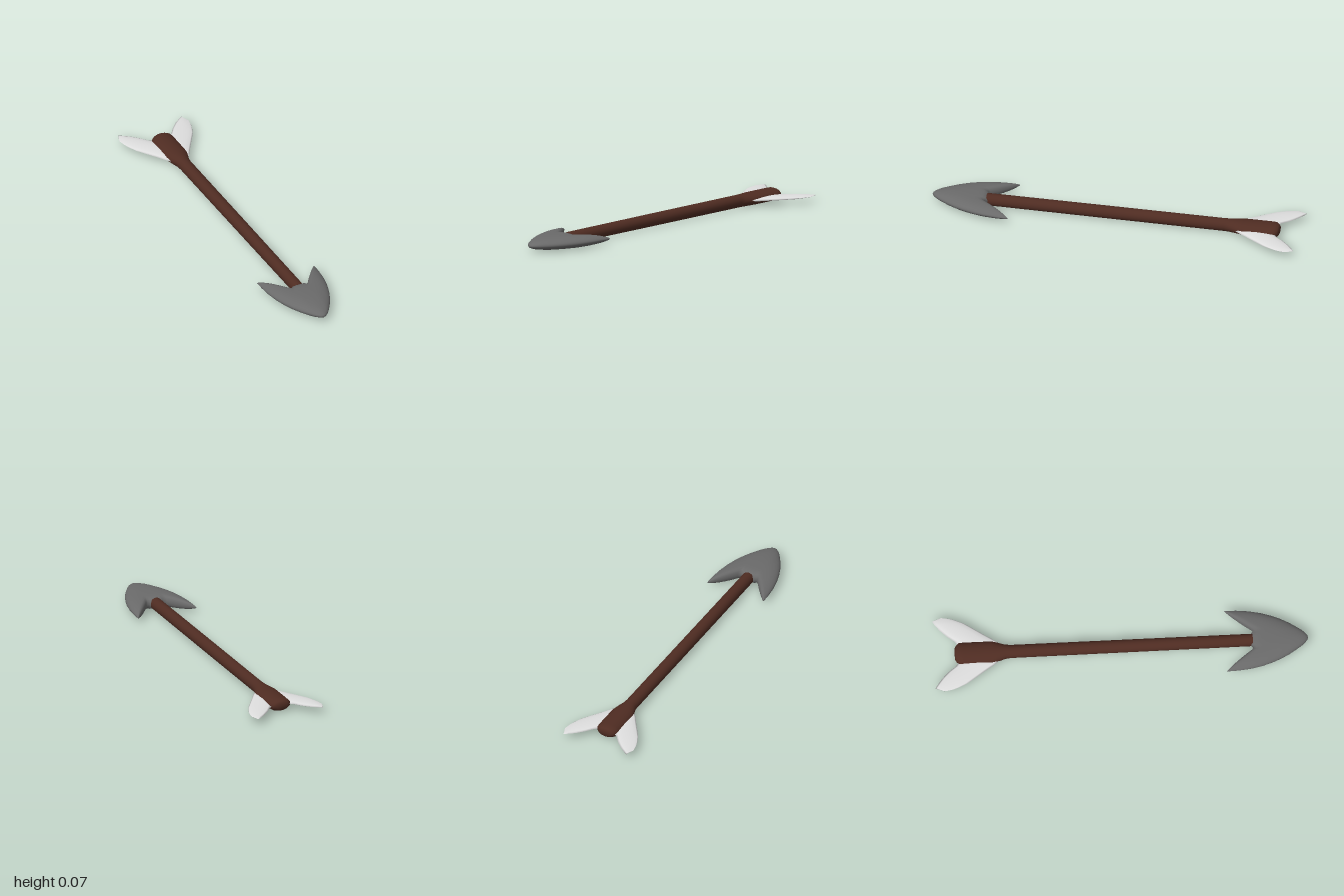
import * as THREE from 'three';

const MID_Y = 0.035; // height of the long axis

// Closed smooth skin over a list of rings, with both ends capped.
// Rings run counter-clockwise around the direction of travel.
function loft(rings) {
  const n = rings[0].length, pos = [], index = [];
  rings.forEach(r => r.forEach(p => pos.push(p.x, p.y, p.z)));
  for (let i = 0; i < rings.length - 1; i++) {
    for (let j = 0; j < n; j++) {
      const k = (j + 1) % n, a = i * n + j, b = i * n + k;
      index.push(a, b, a + n, b, b + n, a + n);
    }
  }
  [0, rings.length - 1].forEach((i, end) => {
    const c = new THREE.Vector3();
    rings[i].forEach(p => c.addScaledVector(p, 1 / n));
    const ci = pos.length / 3;
    pos.push(c.x, c.y, c.z);
    for (let j = 0; j < n; j++) {
      const a = i * n + j, b = i * n + (j + 1) % n;
      if (end) index.push(ci, a, b); else index.push(ci, b, a);
    }
  });
  const g = new THREE.BufferGeometry();
  g.setAttribute('position', new THREE.Float32BufferAttribute(pos, 3));
  g.setIndex(index);
  g.computeVertexNormals();
  return g;
}

// Blade made of slices along x: [x, front z, back z, half thickness]
function blade(slices, profile, n) {
  return loft(slices.map(([x, front, back, h]) => Array.from({ length: n }, (_, j) => {
    const a = j / n * Math.PI * 2, s = (1 - Math.sin(a)) / 2;
    const side = Math.abs(Math.cos(a)) < 1e-6 ? 0 : Math.sign(Math.cos(a));
    return new THREE.Vector3(x, MID_Y + side * h * profile(s), front + (back - front) * s);
  })));
}

const mirrorSlices = list => list.map(([x, ...rest]) => [-x, ...rest]).reverse();

export function createModel() {
  const model = new THREE.Group();
  const wood = new THREE.MeshStandardMaterial({ name: 'dark wood', color: 0x4f2c22 });
  const iron = new THREE.MeshStandardMaterial({ name: 'iron grey', color: 0x6a6a6a });
  const feather = new THREE.MeshStandardMaterial({ name: 'feather white', color: 0xdedede });
  const add = (name, geometry, material) => {
    const mesh = new THREE.Mesh(geometry, material);
    mesh.name = name;
    model.add(mesh);
  };

  // Shaft with a flared tail: [z, half width, half height]
  const shaft = [
    [-0.888, 0.03, 0.018], [-0.88, 0.046, 0.027], [-0.865, 0.06, 0.033], [-0.84, 0.062, 0.034],
    [-0.76, 0.062, 0.034], [-0.69, 0.061, 0.034], [-0.66, 0.053, 0.034], [-0.62, 0.039, 0.034],
    [-0.59, 0.035, 0.034], [0.05, 0.034, 0.034], [0.7, 0.033, 0.033],
  ];
  add('shaft', loft(shaft.map(([z, w, h]) => Array.from({ length: 20 }, (_, j) => {
    const a = j / 20 * Math.PI * 2;
    return new THREE.Vector3(w * Math.cos(a), MID_Y + h * Math.sin(a), z);
  }))), wood);

  // Barbed head, blunt towards the tip and full at the back
  const half = [
    [0.015, 0.99, 0.688, 0.035], [0.033, 0.974, 0.69, 0.0345], [0.045, 0.96, 0.702, 0.034],
    [0.06, 0.938, 0.69, 0.033], [0.085, 0.9, 0.655, 0.0315], [0.11, 0.853, 0.623, 0.029],
    [0.13, 0.805, 0.598, 0.025], [0.148, 0.75, 0.577, 0.019], [0.161, 0.69, 0.563, 0.012],
    [0.168, 0.63, 0.556, 0.006], [0.171, 0.58, 0.555, 0.001],
  ];
  const headProfile = s => s < 0.65
    ? Math.sqrt(1 - ((s - 0.65) / 0.65) ** 2)
    : Math.sqrt(Math.max(0, 1 - ((s - 0.65) / 0.35) ** 6));
  add('arrowhead', blade([...mirrorSlices(half), [0, 0.995, 0.688, 0.035], ...half], headProfile, 28), iron);

  // Pair of swept-back feathers
  const vane = [
    [0.04, -0.64, -0.865, 0.011], [0.07, -0.678, -0.885, 0.011], [0.1, -0.725, -0.925, 0.01],
    [0.137, -0.78, -0.962, 0.009], [0.17, -0.83, -0.987, 0.007], [0.19, -0.875, -1.0, 0.004],
    [0.2, -0.905, -0.972, 0.002], [0.207, -0.945, -0.953, 0.0005],
  ];
  const lens = s => Math.sqrt(Math.max(0, 1 - (2 * s - 1) ** 2));
  add('leftFeather', blade(vane, lens, 12), feather);
  add('rightFeather', blade(mirrorSlices(vane), lens, 12), feather);

  return model;
}
